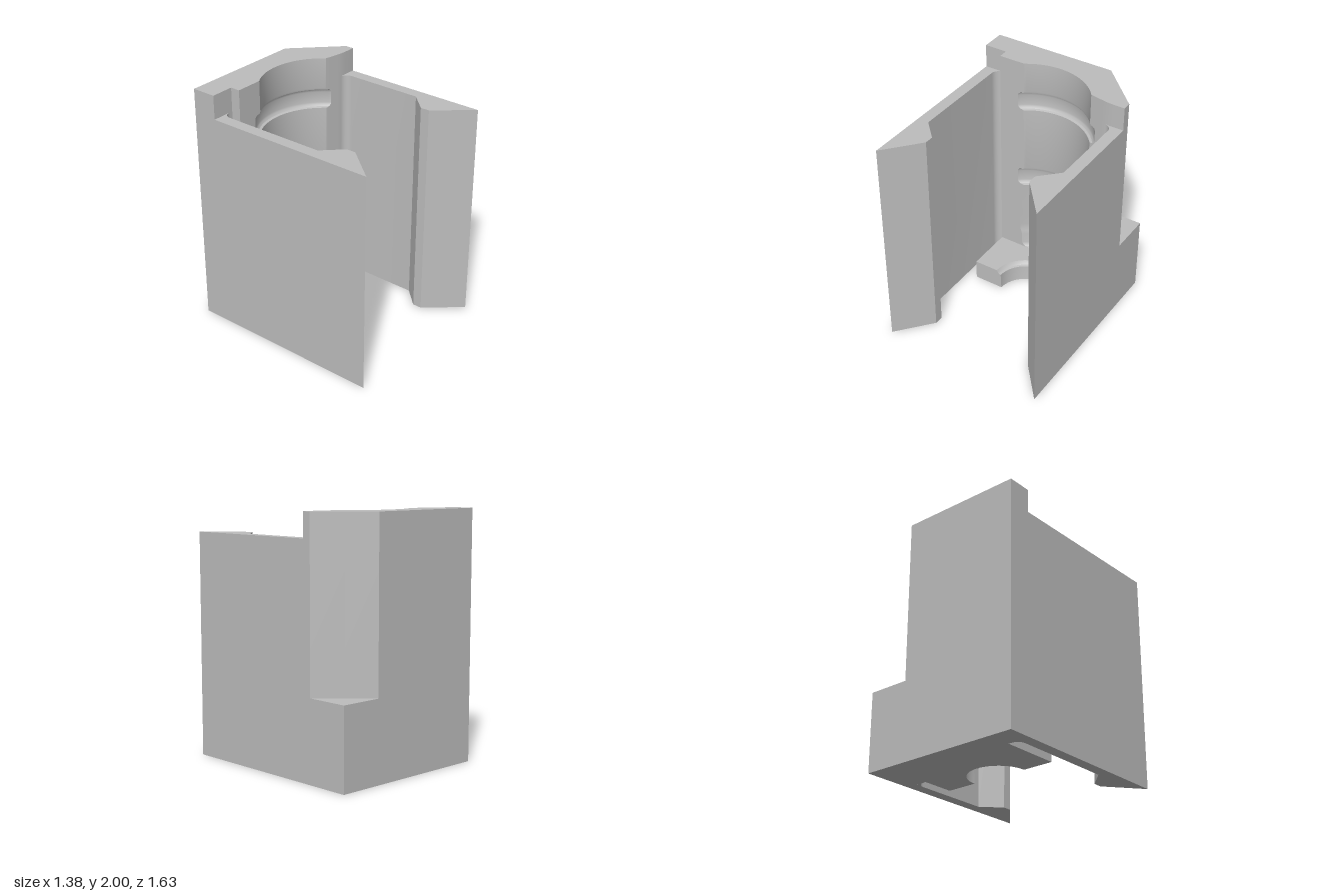
import * as THREE from 'three';
import { toCreasedNormals } from 'three/addons/utils/BufferGeometryUtils.js';

const AXIS_Z = -0.14; // the cavity and the floor opening share this vertical axis

// Joins equal-length [x, z] outlines (anticlockwise from above) at rising heights, with flat caps.
function loft(sections) {
  const pos = [];
  const a = new THREE.Vector3(), b = new THREE.Vector3();
  const tri = (p, q, r) => {
    a.subVectors(q, p);
    b.subVectors(r, p);
    if (a.cross(b).length() < 1e-9) return;
    for (const v of [p, q, r]) pos.push(v.x, v.y, v.z);
  };
  const rows = sections.map(({ y, pts }) => pts.map(([x, z]) => new THREE.Vector3(x, y, z)));
  for (let s = 0; s < rows.length - 1; s++) {
    const lo = rows[s], hi = rows[s + 1], n = lo.length;
    for (let i = 0; i < n; i++) {
      const j = (i + 1) % n;
      tri(lo[i], lo[j], hi[j]);
      tri(lo[i], hi[j], hi[i]);
    }
  }
  const cap = (row, up) => {
    const flat = row.map((v) => new THREE.Vector2(v.x, -v.z));
    for (const [i, j, k] of THREE.ShapeUtils.triangulateShape(flat, [])) {
      const ccw = THREE.ShapeUtils.area([flat[i], flat[j], flat[k]]) > 0;
      if (ccw === up) tri(row[i], row[j], row[k]);
      else tri(row[i], row[k], row[j]);
    }
  };
  cap(rows[0], false);
  cap(rows[rows.length - 1], true);
  const geo = new THREE.BufferGeometry();
  geo.setAttribute('position', new THREE.Float32BufferAttribute(pos, 3));
  return toCreasedNormals(geo, 0.5);
}

// Points along a circle about the axis, bulging towards the back
function backArc(r, from, to, steps = 40) {
  return Array.from({ length: steps + 1 }, (_, i) => {
    const t = from + (to - from) * i / steps;
    return [r * Math.cos(t), AXIS_Z - r * Math.sin(t)];
  });
}

// Back block outline with a round cavity of radius r; one rear corner may be chamfered
function blockOutline(r, chamfered) {
  const leftX = -Math.sqrt(r * r - 0.16);
  let x = 0.4, z = -0.43;
  for (let i = 0; i < 8; i++) {
    z = -0.43 + 0.2 * (x - 0.4);
    x = Math.sqrt(r * r - (z - AXIS_Z) ** 2);
  }
  return [
    [-0.69, -0.82], [-0.69, -0.62], [-0.5, -0.62], [-0.5, -0.54],
    ...backArc(r, Math.atan2(0.4, leftX), Math.atan2(AXIS_Z - z, x)),
    [0.5, -0.41], [0.54, -0.403], [0.6, -0.4], [0.69, -0.4],
    [0.69, -0.47], chamfered ? [0.515, -0.645] : [0.69, -0.82], [0.34, -0.82],
  ];
}

// Cavity radius by height: rounded foot, swelling belly and two ring grooves
const groove = (y) => [
  [y, 0.488], [y + 0.006, 0.507], [y + 0.02, 0.518], [y + 0.035, 0.522],
  [y + 0.125, 0.522], [y + 0.145, 0.517], [y + 0.157, 0.506], [y + 0.16, 0.49], [y + 0.175, 0.486],
];
const cavity = [
  [0, 0.46], [0.17, 0.46], [0.176, 0.478], [0.19, 0.489], [0.21, 0.494], [0.3, 0.495],
  [0.33, 0.5], [0.36, 0.506], [0.4, 0.506], [0.5, 0.502], [0.65, 0.496],
  [0.65, 0.496], [0.8, 0.49], ...groove(0.83), ...groove(1.57), [2, 0.486],
];

// Side arm plan with a rounded slot end and a pointed hook
function armOutline(side, backZ) {
  const fillet = Array.from({ length: 9 }, (_, i) => {
    const t = (i / 8) * Math.PI / 2;
    return [0.53 + 0.065 * Math.sin(t), backZ + 0.065 - 0.065 * Math.cos(t)];
  });
  const pts = [
    [0.69, backZ], ...fillet, [0.595, 0.3], [0.45, 0.45], [0.45, 0.525], [0.69, 0.81],
  ].map(([x, z]) => [x * side, z]);
  return side > 0 ? pts : pts.reverse();
}

// Floor plate outline with a half-round opening of radius r
const floorOutline = (r) => [
  [-0.5, -0.65], [-0.5, AXIS_Z], ...backArc(r, Math.PI, 0), [0.5, AXIS_Z], [0.5, -0.65],
];

export function createModel() {
  const group = new THREE.Group();
  const grey = new THREE.MeshStandardMaterial({ color: 0xbdbdbd });
  grey.name = 'light grey';
  const add = (name, sections) => {
    const mesh = new THREE.Mesh(loft(sections), grey);
    mesh.name = name;
    group.add(mesh);
  };

  // Back block: the chamfer starts at the repeated height
  let steps = 0;
  add('backBlock', cavity.map(([y, r]) => {
    if (y === 0.65) steps++;
    return { y, pts: blockOutline(r, y > 0.65 || steps === 2) };
  }));

  // Floor plate with a flared opening
  const opening = [[0, 0.243], [0.02, 0.245], [0.135, 0.25], [0.14, 0.268], [0.15, 0.278], [0.17, 0.29]];
  add('floorPlate', opening.map(([y, r]) => ({ y, pts: floorOutline(r) })));

  // Clip arms
  for (const [name, side, backZ] of [['leftArm', 1, -0.4], ['rightArm', -1, -0.62]]) {
    const pts = armOutline(side, backZ);
    add(name, [{ y: 0, pts }, { y: 1.805, pts }]);
  }
  return group;
}
